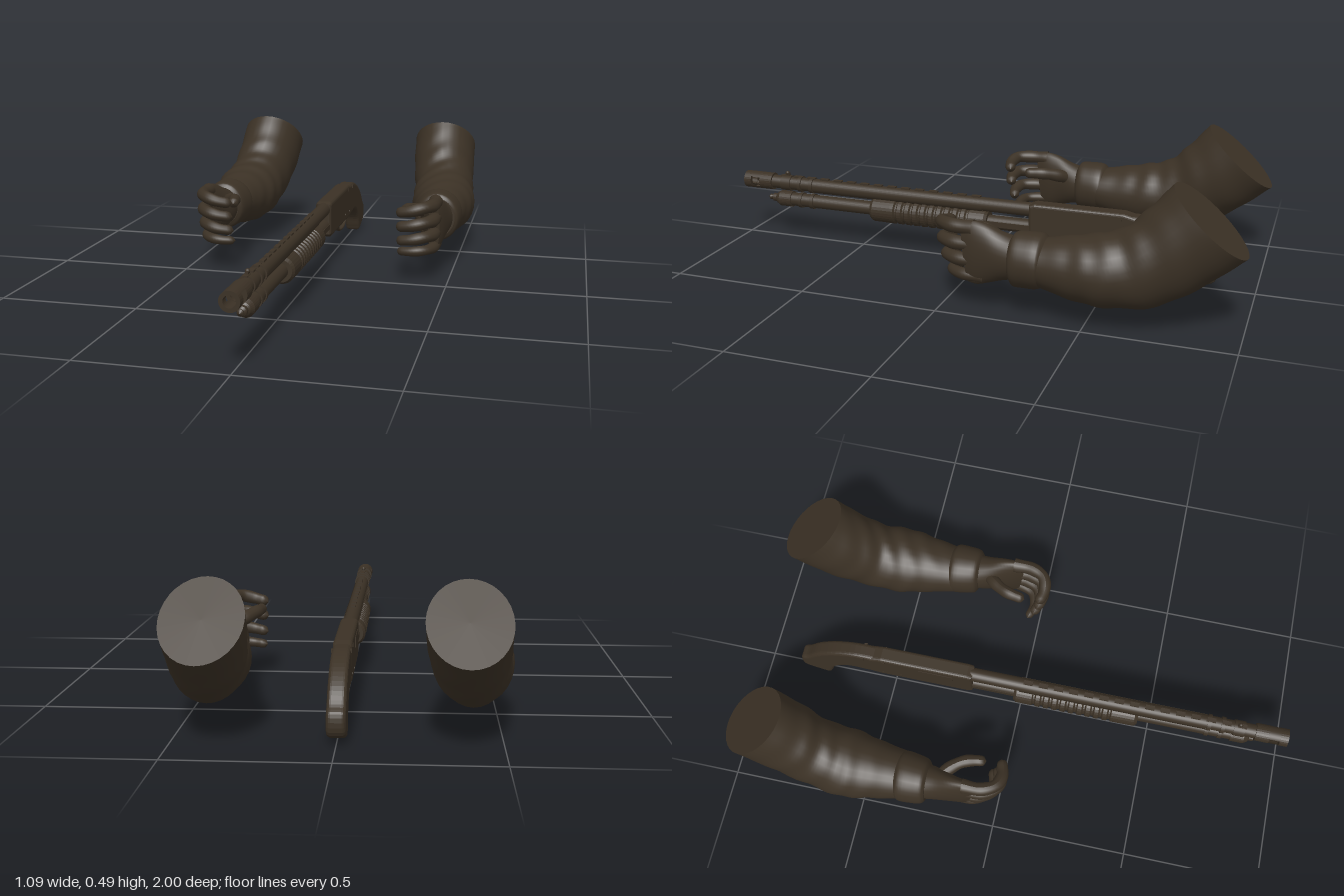
import * as THREE from 'three';

const brown = new THREE.MeshStandardMaterial({ color: 0x3b3125, side: THREE.DoubleSide });
brown.name = 'darkBrown';

function add(group, name, geometry) {
  const mesh = new THREE.Mesh(geometry, brown);
  mesh.name = name;
  group.add(mesh);
  return mesh;
}

// Rings given as [topY, topZ, bottomY, bottomZ, minX, maxX], swept smoothly and capped
function loft(rings, s, steps = 30, sides = 28, wrinkle = 0) {
  const tops = new THREE.CatmullRomCurve3(rings.map(r => new THREE.Vector3(s * (r[4] + r[5]) / 2, r[0], r[1])));
  const ends = new THREE.CatmullRomCurve3(rings.map(r => new THREE.Vector3((r[5] - r[4]) / 2, r[2], r[3])));
  const pos = [], index = [];
  for (let j = 0; j <= steps; j++) {
    const t = j / steps, a = tops.getPoint(t), b = ends.getPoint(t);
    for (let i = 0; i < sides; i++) {
      const q = i / sides * Math.PI * 2;
      const fade = Math.sin(t * Math.PI);
      const w = 1 + wrinkle * fade * Math.sin(t * 34 + 2 * Math.sin(q * 2) + s * Math.sin(q) * 2);
      const c = Math.cos(q) * w / 2;
      pos.push(a.x + b.x * Math.sin(q) * w, (a.y + b.y) / 2 + (a.y - b.y) * c, (a.z + b.z) / 2 + (a.z - b.z) * c);
    }
  }
  for (let j = 0; j < steps; j++) for (let i = 0; i < sides; i++) {
    const k = (i + 1) % sides, p = j * sides, n = p + sides;
    index.push(p + i, n + i, p + k, p + k, n + i, n + k);
  }
  // End caps get their own vertices so the rims stay sharp
  for (const j of [0, steps]) {
    const first = pos.length / 3, mid = [0, 0, 0];
    for (let i = 0; i < sides; i++) for (let d = 0; d < 3; d++) {
      const v = pos[(j * sides + i) * 3 + d];
      pos.push(v);
      mid[d] += v / sides;
    }
    pos.push(...mid);
    for (let i = 0; i < sides; i++) {
      const p = first + i, k = first + (i + 1) % sides;
      index.push(first + sides, j ? k : p, j ? p : k);
    }
  }
  const g = new THREE.BufferGeometry();
  g.setAttribute('position', new THREE.Float32BufferAttribute(pos, 3));
  g.setIndex(index);
  g.computeVertexNormals();
  return g;
}

// Tapered finger with a rounded tip
function finger(points, radius, s) {
  const path = new THREE.CatmullRomCurve3(points.map(p => new THREE.Vector3(s * p[0], p[1], p[2])));
  const n = 24, m = 12, g = new THREE.TubeGeometry(path, n, radius, m);
  const pos = g.attributes.position, v = new THREE.Vector3();
  for (let i = 0; i <= n; i++) {
    const t = i / n, c = path.getPointAt(t);
    const tip = t > 0.88 ? Math.sqrt(Math.max(0, 1 - ((t - 0.88) / 0.12) ** 2)) : 1;
    const k = (1.08 - 0.25 * t + 0.04 * Math.cos(t * 19)) * tip;
    for (let j = 0; j <= m; j++) {
      const id = i * (m + 1) + j;
      v.fromBufferAttribute(pos, id).sub(c).multiplyScalar(k).add(c);
      pos.setXYZ(id, v.x, v.y, v.z);
    }
  }
  g.computeVertexNormals();
  return g;
}

function makeArm(s) {
  const arm = new THREE.Group();
  arm.name = s > 0 ? 'leftArm' : 'rightArm';
  add(arm, 'sleeve', loft([
    [0.50, -0.76, 0.285, -1.0, 0.26, 0.515],
    [0.41, -0.68, 0.18, -0.87, 0.27, 0.52],
    [0.345, -0.61, 0.10, -0.73, 0.29, 0.53],
    [0.318, -0.53, 0.08, -0.57, 0.295, 0.545],
    [0.30, -0.44, 0.09, -0.46, 0.315, 0.53],
    [0.28, -0.34, 0.12, -0.34, 0.335, 0.51]], s, 44, 32, 0.022));
  add(arm, 'cuff', loft([
    [0.285, -0.365, 0.125, -0.36, 0.345, 0.505],
    [0.298, -0.35, 0.112, -0.345, 0.335, 0.518],
    [0.30, -0.30, 0.11, -0.30, 0.34, 0.518],
    [0.296, -0.262, 0.112, -0.262, 0.35, 0.512],
    [0.28, -0.25, 0.13, -0.25, 0.365, 0.50]], s, 16));
  add(arm, 'palm', loft([
    [0.275, -0.27, 0.135, -0.27, 0.365, 0.495],
    [0.29, -0.22, 0.125, -0.22, 0.375, 0.488],
    [0.315, -0.16, 0.11, -0.17, 0.395, 0.48],
    [0.322, -0.11, 0.10, -0.13, 0.408, 0.472],
    [0.31, -0.075, 0.105, -0.10, 0.42, 0.462]], s, 18));
  // Four curled fingers stacked from index to little
  [[0.298, 0.275, 0.012, 0.024], [0.24, 0.222, 0.008, 0.024], [0.184, 0.166, -0.006, 0.023], [0.13, 0.122, -0.026, 0.02]]
    .forEach(([y, tipY, dz, r], i) => add(arm, 'finger' + (i + 1), finger([
      [0.442, y, -0.13 + dz], [0.44, y, -0.06 + dz], [0.415, y, -0.012 + dz],
      [0.37, (y + tipY) / 2, 0.002 + dz], [0.312, tipY, -0.014 + dz]], r, s)));
  add(arm, 'thumb', finger([[0.42, 0.23, -0.22], [0.375, 0.25, -0.18],
    [0.342, 0.262, -0.13], [0.325, 0.262, -0.055]], 0.024, s));
  return arm;
}

// Lathe along z: profile points are [radius, z]
function turned(points, y) {
  const g = new THREE.LatheGeometry(points.map(p => new THREE.Vector2(p[0], p[1])), 28);
  g.rotateX(Math.PI / 2).translate(0, y, 0);
  const flat = g.toNonIndexed();
  flat.computeVertexNormals();
  return flat;
}
const rod = (r, z0, z1, y) =>
  new THREE.CylinderGeometry(r, r, z1 - z0, 28).rotateX(Math.PI / 2).translate(0, y, (z0 + z1) / 2);

// Bevelled side profile of [z, y] points, given its full width
function sidePlate(points, width, bevel, smooth) {
  const v = points.map(p => new THREE.Vector2(p[0], p[1]));
  const shape = new THREE.Shape(smooth ? new THREE.SplineCurve([...v, v[0]]).getPoints(60) : v);
  const depth = width - 2 * bevel;
  return new THREE.ExtrudeGeometry(shape, { depth, bevelSize: bevel, bevelOffset: -bevel, bevelThickness: bevel, bevelSegments: 4 })
    .translate(0, 0, -depth / 2).rotateY(-Math.PI / 2);
}

function makeGun() {
  const gun = new THREE.Group();
  gun.name = 'gun';
  const barrelY = 0.228, tubeY = 0.162;
  add(gun, 'barrel', rod(0.026, -0.2, 0.89, barrelY));

  // Muzzle brake: collar and front ring joined by two arched bridges
  add(gun, 'muzzleCollar', turned([[0, 0.88], [0.033, 0.88], [0.033, 0.932], [0.02, 0.932], [0.02, 0.9], [0, 0.9]], barrelY));
  add(gun, 'muzzleRing', turned([[0.02, 0.97], [0.033, 0.97], [0.033, 1.0], [0.02, 1.0], [0.02, 0.97]], barrelY));
  for (const turn of [0, Math.PI]) for (const r of [0.033, 0.022]) {
    add(gun, 'muzzleBridge', new THREE.CylinderGeometry(r, r, 0.04, 12, 1, true, turn - 0.95, 1.9)
      .rotateX(Math.PI / 2).translate(0, barrelY, 0.951));
  }

  // Vented shield over the barrel, with a raised rib between vents
  add(gun, 'barrelShield', new THREE.CylinderGeometry(0.029, 0.029, 0.7, 20, 1, true, Math.PI / 2, Math.PI)
    .rotateX(-Math.PI / 2).translate(0, barrelY, 0.35));
  for (let i = 0; i < 15; i++) {
    add(gun, 'shieldRib', new THREE.BoxGeometry(0.016, 0.006, 0.034).translate(0, barrelY + 0.028, 0.03 + i * 0.057));
  }
  for (const z of [0.71, 0.76]) {
    add(gun, 'barrelClamp', rod(0.031, z - 0.007, z + 0.007, barrelY));
    add(gun, 'tubeClamp', rod(0.03, z - 0.007, z + 0.007, tubeY));
  }
  add(gun, 'frontSightPost', new THREE.BoxGeometry(0.008, 0.02, 0.018).translate(0, 0.259, 0.82));
  add(gun, 'frontSightBead', new THREE.SphereGeometry(0.008, 12, 8).translate(0, 0.268, 0.82));
  add(gun, 'sightBand', rod(0.03, 0.80, 0.84, barrelY));

  // Magazine tube with stepped cap
  add(gun, 'magazineTube', rod(0.026, -0.2, 0.83, tubeY));
  add(gun, 'magazineCap', turned([[0, 0.8], [0.031, 0.8], [0.031, 0.85], [0.022, 0.865],
    [0.016, 0.87], [0.016, 0.885], [0.009, 0.89], [0.011, 0.9], [0, 0.91]], tubeY));

  // Ribbed pump grip
  const ribs = [[0, -0.02], [0.04, -0.02], [0.048, -0.01], [0.048, 0.05]];
  for (let i = 0; i < 10; i++) {
    const z = 0.05 + i * 0.032;
    ribs.push([0.042, z + 0.004], [0.042, z + 0.01], [0.049, z + 0.015], [0.049, z + 0.03]);
  }
  ribs.push([0.048, 0.44], [0.04, 0.452], [0, 0.452]);
  add(gun, 'pumpGrip', turned(ribs, tubeY));
  for (const x of [-0.024, 0.024]) {
    add(gun, 'actionBar', new THREE.BoxGeometry(0.005, 0.02, 0.2).translate(x, tubeY, -0.11));
  }

  // Receiver, side port and pins
  add(gun, 'receiver', sidePlate([[-0.18, 0.13], [-0.18, 0.25], [-0.2, 0.257], [-0.53, 0.257],
    [-0.58, 0.245], [-0.6, 0.13], [-0.54, 0.118], [-0.2, 0.118]], 0.062, 0.012));
  add(gun, 'ejectionPort', new THREE.BoxGeometry(0.006, 0.035, 0.13).translate(-0.03, 0.215, -0.32));
  for (const z of [-0.46, -0.53]) {
    add(gun, 'receiverPin', new THREE.CylinderGeometry(0.006, 0.006, 0.066, 10).rotateZ(Math.PI / 2).translate(0, 0.145, z));
  }
  for (const z of [-0.52, -0.6]) {
    add(gun, 'receiverBand', new THREE.BoxGeometry(0.066, 0.012, 0.012).translate(0, 0.238, z));
  }

  // Trigger guard loop and trigger
  const guard = new THREE.CatmullRomCurve3([[0.125, -0.42], [0.09, -0.44], [0.077, -0.48],
    [0.078, -0.54], [0.095, -0.575], [0.13, -0.59]].map(p => new THREE.Vector3(0, p[0], p[1])));
  add(gun, 'triggerGuard', new THREE.TubeGeometry(guard, 24, 0.006, 8).scale(1.6, 1, 1));
  add(gun, 'trigger', new THREE.BoxGeometry(0.008, 0.035, 0.01).rotateX(0.25).translate(0, 0.108, -0.51));

  // Curved bird's-head grip
  add(gun, 'rearGrip', sidePlate([[-0.56, 0.25], [-0.64, 0.247], [-0.72, 0.222], [-0.79, 0.178],
    [-0.835, 0.13], [-0.864, 0.105], [-0.862, 0.045], [-0.81, 0.02], [-0.765, 0.008], [-0.75, 0.03],
    [-0.735, 0.07], [-0.70, 0.108], [-0.65, 0.125], [-0.57, 0.13]], 0.06, 0.014, true));
  return gun;
}

export function createModel() {
  const model = new THREE.Group();
  model.name = 'armsAndGun';
  model.add(makeGun(), makeArm(1), makeArm(-1));
  return model;
}
